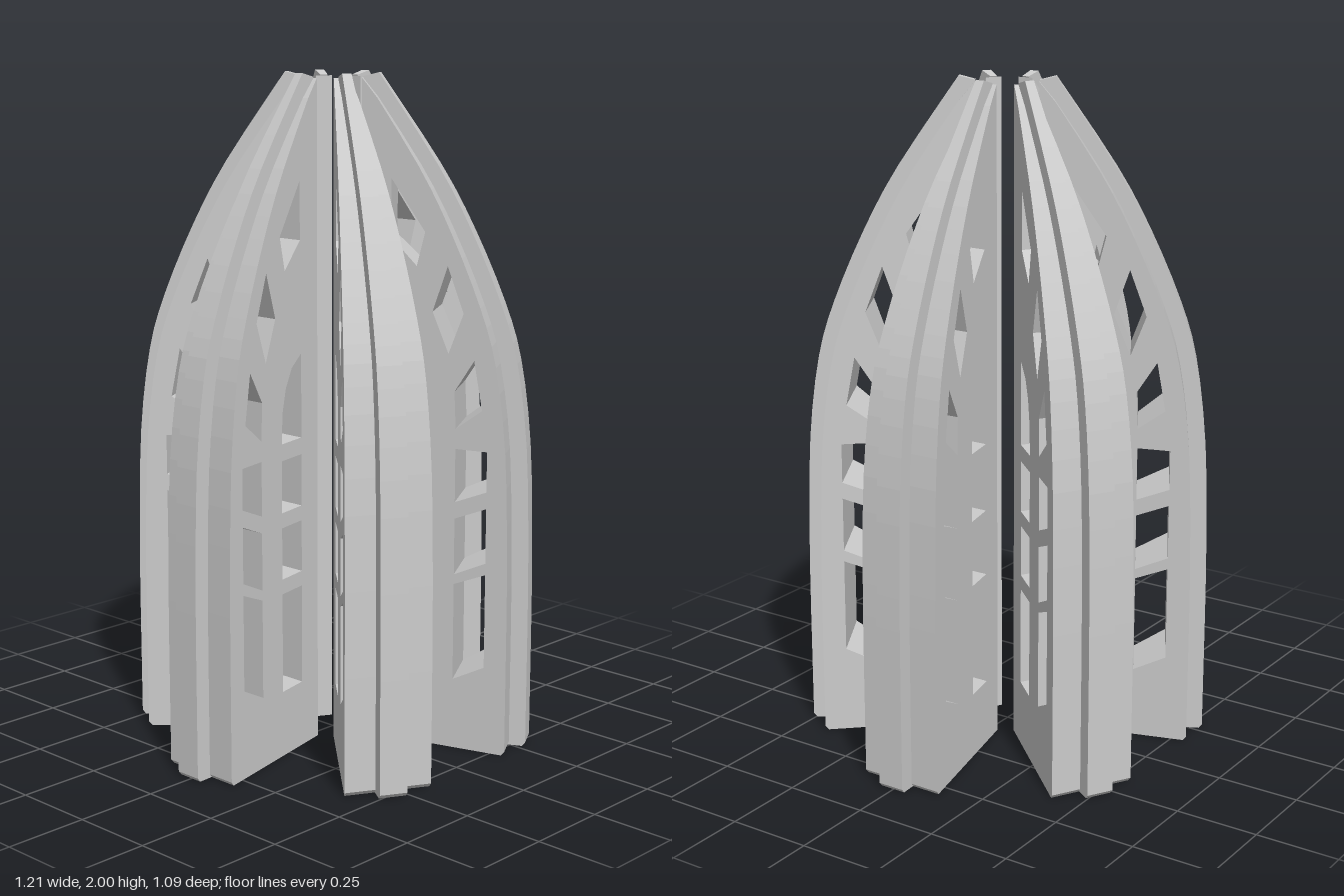
import * as THREE from 'three';

// Outer edge of the rib as (radius, height)
const RIB_EDGE = [
  [0.605, 0.35], [0.603, 0.6], [0.592, 0.92], [0.56, 1.17],
  [0.51, 1.34], [0.42, 1.55], [0.317, 1.74], [0.14, 2.0],
];
const INNER = 0.092;
const STEP = 0.05; // how far the rib stands proud of the wedge

// Windows as (radius, height) outlines
const WINDOWS = [
  // inner column
  [[0.18, 0.2], [0.285, 0.2], [0.285, 0.5], [0.18, 0.5]],
  [[0.18, 0.545], [0.285, 0.545], [0.285, 0.7], [0.18, 0.7]],
  [[0.18, 0.745], [0.285, 0.745], [0.285, 0.9], [0.18, 0.9]],
  [[0.18, 0.95], [0.285, 0.95], [0.28, 1.04], [0.262, 1.11], [0.23, 1.165], [0.18, 1.2]],
  [[0.185, 1.53], [0.265, 1.45], [0.29, 1.55], [0.185, 1.7]],
  // outer column
  [[0.39, 0.215], [0.487, 0.265], [0.487, 0.55], [0.39, 0.51]],
  [[0.39, 0.54], [0.487, 0.585], [0.487, 0.75], [0.39, 0.71]],
  [[0.39, 0.76], [0.487, 0.8], [0.487, 0.92], [0.39, 0.92]],
  [[0.39, 0.98], [0.47, 1.04], [0.444, 1.185], [0.385, 1.09]],
  [[0.365, 1.2], [0.41, 1.32], [0.36, 1.455], [0.315, 1.32]],
];

const toVectors = (list) => list.map(([x, y]) => new THREE.Vector2(x, y));

// Extrude a (radius, height) shape, then taper its thickness towards the axis
function taperedPlate(shape, halfWidth, name) {
  const geo = new THREE.ExtrudeGeometry(shape, { depth: 2, bevelEnabled: false, curveSegments: 1 });
  const pos = geo.attributes.position;
  for (let i = 0; i < pos.count; i++) {
    pos.setZ(i, (pos.getZ(i) - 1) * halfWidth(pos.getX(i)));
  }
  geo.computeVertexNormals();
  const mesh = new THREE.Mesh(geo, new THREE.MeshStandardMaterial({ color: 0xcccccc }));
  mesh.name = name;
  return mesh;
}

function createFin() {
  const fin = new THREE.Group();
  const curve = new THREE.SplineCurve(toVectors(RIB_EDGE)).getPoints(21);
  const inset = (d) => curve.map((p) => new THREE.Vector2(Math.max(p.x - d, INNER), p.y));

  // pierced wedge
  const body = new THREE.Shape([
    new THREE.Vector2(INNER, 0),
    new THREE.Vector2(0.545, 0),
    new THREE.Vector2(0.555, 0.012),
    ...inset(STEP).slice(0, -1),
    new THREE.Vector2(INNER, 1.985),
  ]);
  body.holes = WINDOWS.map((w) => new THREE.Path(toVectors(w).reverse()));
  fin.add(taperedPlate(body, (r) => 0.024 + 0.226 * (r - 0.09), 'wedge'));

  // narrow rib along the outer edge
  const rib = new THREE.Shape([
    new THREE.Vector2(0.53, 0.002),
    new THREE.Vector2(0.595, 0.002),
    new THREE.Vector2(0.605, 0.014),
    ...curve,
    new THREE.Vector2(INNER, 1.988),
    ...inset(STEP + 0.02).reverse().filter((p) => p.x > INNER),
  ]);
  fin.add(taperedPlate(rib, (r) => 0.011 + 0.058 * (r - 0.09), 'rib'));
  return fin;
}

export function createModel() {
  const model = new THREE.Group();
  model.name = 'finnedSpire';
  // six fins around the axis
  for (let i = 0; i < 6; i++) {
    const fin = createFin();
    fin.name = `fin${i + 1}`;
    fin.rotation.y = (i * Math.PI) / 3;
    model.add(fin);
  }
  return model;
}
